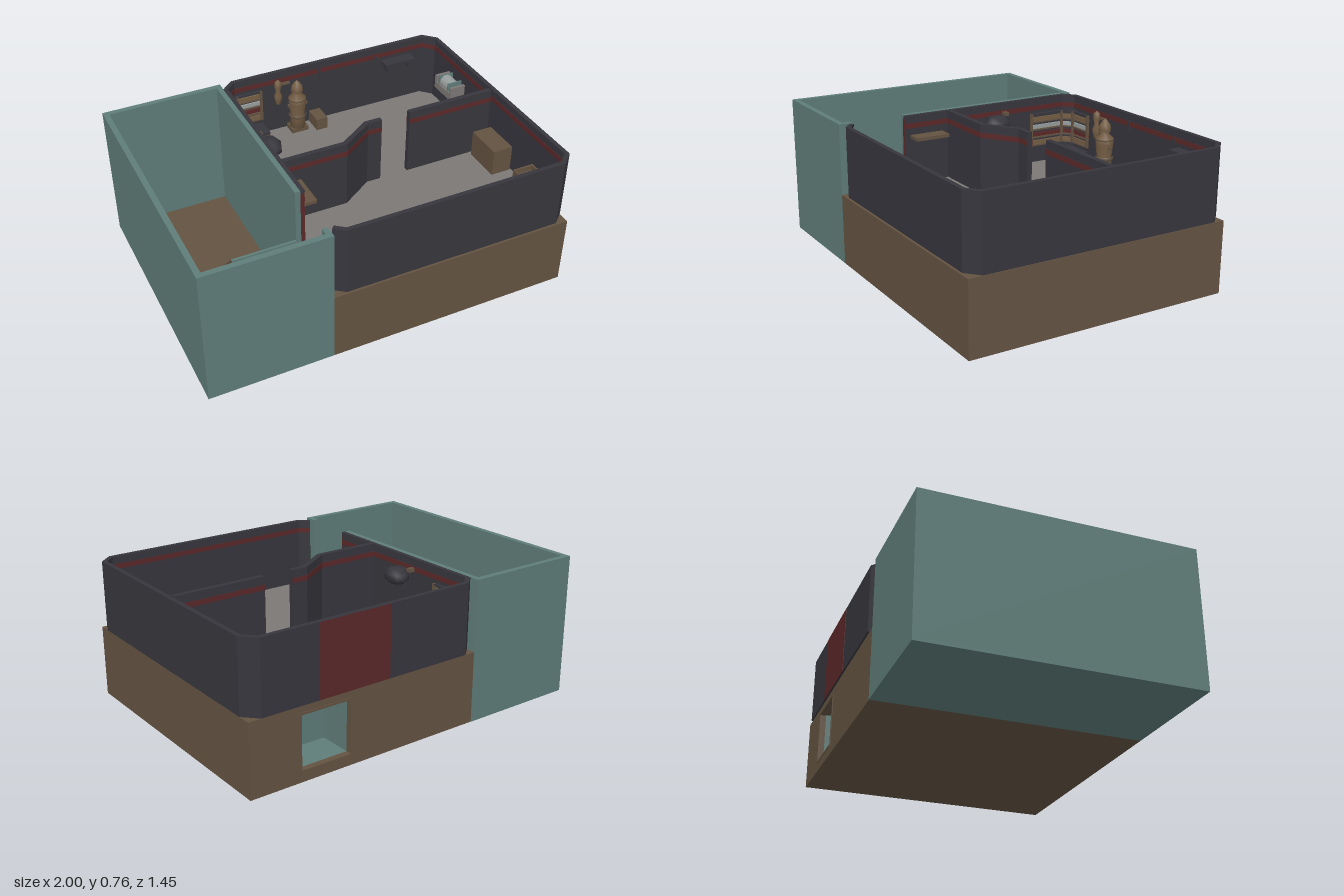
import * as THREE from 'three';

const mat = (name, color) => Object.assign(new THREE.MeshStandardMaterial({ color }), { name });
const teal = mat('teal plaster', 0x5f7d79);
const brown = mat('brown earth and wood', 0x645342);
const dark = mat('charcoal wall', 0x37363d);
const grey = mat('grey floor', 0x7c7876);
const red = mat('dark red', 0x5b2829);
const tan = mat('tan wood', 0x755e45);
const pale = mat('pale metal', 0x979e9c);

export function createModel() {
  const root = new THREE.Group();
  root.name = 'houseWithStairwell';

  const add = (name, geo, m) => {
    const mesh = new THREE.Mesh(geo, m);
    mesh.name = name;
    root.add(mesh);
    return mesh;
  };
  // Box given by its limits on each axis
  const box = (name, m, x0, x1, y0, y1, z0, z1) => {
    const mesh = add(name, new THREE.BoxGeometry(x1 - x0, y1 - y0, z1 - z0), m);
    mesh.position.set((x0 + x1) / 2, (y0 + y1) / 2, (z0 + z1) / 2);
  };
  // Plan outline [x, z] raised from y0 to y1
  const raise = (name, m, pts, y0, y1) => {
    const shape = new THREE.Shape(pts.map(([x, z]) => new THREE.Vector2(x, -z)));
    const geo = new THREE.ExtrudeGeometry(shape, { depth: y1 - y0, bevelEnabled: false });
    geo.rotateX(-Math.PI / 2);
    geo.translate(0, y0, 0);
    add(name, geo, m);
  };
  // Mitred sideways offset of an open plan path
  const offset = (path, d) => path.map((p, i) => {
    const normal = (a, b) => new THREE.Vector2(a[1] - b[1], b[0] - a[0]).normalize();
    const n1 = i > 0 ? normal(path[i - 1], p) : normal(p, path[i + 1]);
    const n2 = i < path.length - 1 ? normal(p, path[i + 1]) : n1;
    const mid = n1.clone().add(n2).normalize();
    const k = d / mid.dot(n1);
    return [p[0] + mid.x * k, p[1] + mid.y * k];
  });
  const strip = (name, m, path, d0, d1, y0, y1) =>
    raise(name, m, [...offset(path, d0), ...offset(path, d1).reverse()], y0, y1);
  const lathe = (name, m, pts, x, y, z, seg = 12) => {
    const mesh = add(name, new THREE.LatheGeometry(pts.map(p => new THREE.Vector2(...p)), seg), m);
    mesh.position.set(x, y, z);
    return mesh;
  };

  // Stairwell shell, open at the top, with a doorway into the house
  const H = 0.765;
  box('stairwellBase', teal, -1, -0.34, 0, 0.015, -0.72, 0.72);
  box('stairwellFloor', brown, -0.97, -0.37, 0.015, 0.025, -0.69, 0.69);
  box('stairwellLeftWall', teal, -1, -0.97, 0.015, H, -0.72, 0.72);
  for (const z of [-0.705, 0.705])
    box('stairwellEndWall', teal, -0.97, -0.34, 0.015, H, z - 0.015, z + 0.015);
  box('stairwellHouseWall', teal, -0.37, -0.34, 0.015, H, -0.69, 0.35);
  box('doorThreshold', teal, -0.37, -0.34, 0.015, 0.388, 0.35, 0.65);
  box('doorJamb', teal, -0.37, -0.34, 0.015, H, 0.65, 0.69);

  // Stairs, landing and railings
  box('landing', brown, -0.97, -0.37, 0.025, 0.388, 0.335, 0.69);
  const steps = 8, run = 0.305 / steps;
  for (let i = 0; i < steps; i++) {
    const z = 0.03 + i * run;
    box('stairStep', brown, -0.97, -0.71, 0.025, 0.025 + 0.363 * (i + 1) / (steps + 1), z, z + run);
  }
  box('landingRailing', teal, -0.71, -0.37, 0.025, 0.47, 0.342, 0.356);
  const side = new THREE.Shape([[-0.03, 0.025], [-0.345, 0.025], [-0.345, 0.47], [-0.03, 0.13]]
    .map(p => new THREE.Vector2(...p)));
  const rail = add('stairRailing', new THREE.ExtrudeGeometry(side, { depth: 0.014, bevelEnabled: false }), brown);
  rail.rotation.y = Math.PI / 2;
  rail.position.x = -0.71;

  // House base with a window opening in the back
  const X0 = -0.34, X1 = 0.993, ZB = -0.718, ZF = 0.72, W0 = 0.43, W1 = 0.72, B = 0.055, T = 0.345, N = -0.5;
  box('baseBottom', brown, X0, X1, 0, 0.02, ZB, ZF);
  box('baseTop', brown, X0, X1, 0.362, 0.384, ZB, ZF);
  box('baseFront', brown, X0, X1, 0.02, 0.362, ZF - 0.03, ZF);
  box('baseRight', brown, X1 - 0.03, X1, 0.02, 0.362, ZB, ZF - 0.03);
  const back = [[X0, W0, 0.02, 0.362], [W1, X1 - 0.03, 0.02, 0.362], [W0, W1, 0.02, B], [W0, W1, T, 0.362]];
  for (const [a, b, c, d] of back) box('baseBack', brown, a, b, c, d, ZB, ZB + 0.03);
  for (const x of [W0, W1]) box('windowFrameSide', brown, x - 0.006, x + 0.006, B, T, ZB - 0.003, ZB + 0.03);
  for (const y of [B, T]) box('windowFrameBar', brown, W0, W1, y - 0.006, y + 0.006, ZB - 0.003, ZB + 0.03);

  // Shallow teal recess behind the window
  box('recessBack', teal, W0 - 0.01, W1 + 0.01, B - 0.01, T + 0.01, N, N + 0.01);
  box('recessFloor', teal, W0, W1, B - 0.01, B, ZB + 0.03, N);
  box('recessCeiling', brown, W0, W1, T, T + 0.01, ZB + 0.03, N);
  for (const x of [W0 - 0.01, W1]) box('recessSide', teal, x, x + 0.01, B - 0.01, T + 0.01, ZB + 0.03, N);

  // Upper storey walls with chamfered corners and a red band inside
  const shell = [[-0.332, 0.35], [-0.332, -0.66], [-0.27, -0.715], [0.925, -0.715], [0.987, -0.65],
    [0.987, 0.645], [0.923, 0.702], [-0.267, 0.702], [-0.32, 0.66]];
  raise('upperFloor', grey, shell, 0.38, 0.39);
  strip('upperWalls', dark, shell, -0.01, 0.01, 0.388, H);
  strip('wallBand', red, shell, 0.01, 0.013, 0.695, 0.722);
  strip('wallCap', dark, shell, 0.01, 0.014, H - 0.015, H);
  box('doorEdge', red, -0.342, -0.322, 0.39, 0.75, 0.35, 0.354);
  box('redPanel', red, 0.21, 0.615, 0.389, H - 0.002, -0.727, -0.724);

  // Partitions
  const partitions = [
    [[-0.32, 0.082], [0.03, 0.082], [0.21, -0.037], [0.295, -0.037]],
    [[0.46, -0.037], [0.965, -0.037]]];
  for (const p of partitions) {
    strip('partition', dark, p, -0.014, 0.014, 0.389, H);
    for (const s of [-1, 1]) strip('partitionBand', red, p, s * 0.014, s * 0.017, 0.695, 0.722);
  }

  // Corner counter and the shelves that follow the walls behind it
  const counter = [[-0.315, -0.58], [-0.315, -0.65], [-0.27, -0.695], [-0.11, -0.695], [-0.11, -0.58]];
  raise('counterBody', brown, counter, 0.39, 0.455);
  raise('counterTop', dark, counter, 0.455, 0.468);
  const shelfPath = [[-0.32, -0.44], [-0.32, -0.655], [-0.266, -0.703], [-0.115, -0.703]];
  const goods = [tan, red, pale, tan];
  for (let i = 0; i < 5; i++) {
    const y = 0.49 + i * 0.045;
    strip('shelfBoard', i < 4 ? brown : dark, shelfPath, 0, 0.018, y, y + 0.008);
    if (i < 4) strip('shelfGoods', goods[i], shelfPath, 0, 0.01, y + 0.008, y + 0.03);
  }
  for (const [x, z] of [[-0.308, -0.44], [-0.308, -0.645], [-0.258, -0.69], [-0.115, -0.69]])
    box('shelfPost', brown, x - 0.007, x + 0.007, 0.49, 0.678, z - 0.007, z + 0.007);

  // Hanging figure and standing practice dummy on a plinth
  lathe('hangingFigure', tan, [[0, 0], [0.014, 0.01], [0.024, 0.06], [0.012, 0.09], [0.02, 0.12], [0.018, 0.15], [0, 0.165]],
    -0.015, 0.565, -0.68);
  box('hangingBar', brown, -0.03, 0.06, 0.685, 0.697, -0.695, -0.68);
  box('dummyPlinth', brown, 0.042, 0.142, 0.39, 0.415, -0.7, -0.62);
  lathe('dummyBody', tan, [[0, 0], [0.045, 0], [0.04, 0.08], [0.05, 0.16], [0.05, 0.19],
    [0.024, 0.215], [0.035, 0.235], [0.03, 0.265], [0.012, 0.29], [0, 0.3]], 0.092, 0.412, -0.658);
  for (const y of [0.48, 0.585]) lathe('dummyBand', brown, [[0.047, 0], [0.053, 0.01], [0.047, 0.02]], 0.092, y, -0.658);
  box('dummyArms', brown, 0.035, 0.15, 0.545, 0.562, -0.668, -0.648);

  // Low box, wall shelf and hook on the back wall
  box('lowBox', brown, 0.182, 0.25, 0.39, 0.46, -0.7, -0.59);
  box('wallShelf', dark, 0.65, 0.84, 0.655, 0.675, -0.705, -0.635);
  for (const x of [0.67, 0.81]) box('shelfBracket', dark, x, x + 0.012, 0.61, 0.655, -0.705, -0.66);
  box('wallHook', dark, 0.245, 0.255, 0.66, 0.73, -0.705, -0.695);
  box('wallPeg', dark, 0.605, 0.625, 0.69, 0.71, -0.705, -0.695);

  // Wall cabinet with a pale curved front
  box('wallCabinet', grey, 0.885, 0.977, 0.56, 0.6, -0.475, -0.3);
  for (const z of [-0.475, -0.315]) box('cabinetCheek', grey, 0.885, 0.977, 0.6, 0.64, z, z + 0.015);
  const roll = add('cabinetRoll', new THREE.CylinderGeometry(0.04, 0.04, 0.09, 16), pale);
  roll.rotation.x = Math.PI / 2;
  roll.position.set(0.932, 0.61, -0.388);
  for (const z of [-0.44, -0.345]) box('cabinetTrim', teal, 0.888, 0.977, 0.6, 0.65, z, z + 0.008);

  // Padded octagonal bust on the left wall
  lathe('wallBust', dark, [[0, 0], [0.035, 0], [0.058, 0.02], [0.058, 0.055], [0.035, 0.08], [0, 0.085]],
    -0.268, 0.625, -0.192, 8).scale.z = 1.25;
  box('bustMount', dark, -0.322, -0.27, 0.6, 0.7, -0.24, -0.15);
  box('bustCrest', brown, -0.32, -0.285, 0.695, 0.715, -0.275, -0.25);

  // Wooden shelf, cupboard and crate in the front room
  box('woodShelf', brown, -0.322, -0.24, 0.64, 0.658, 0.13, 0.32);
  box('cupboard', brown, 0.855, 0.97, 0.39, 0.54, 0, 0.215);
  box('crateBottom', brown, 0.842, 0.962, 0.39, 0.53, 0.415, 0.605);
  for (const x of [0.842, 0.952]) box('crateSide', brown, x, x + 0.01, 0.53, 0.56, 0.415, 0.605);
  for (const z of [0.415, 0.595]) box('crateEnd', brown, 0.852, 0.952, 0.53, 0.56, z, z + 0.01);

  return root;
}
